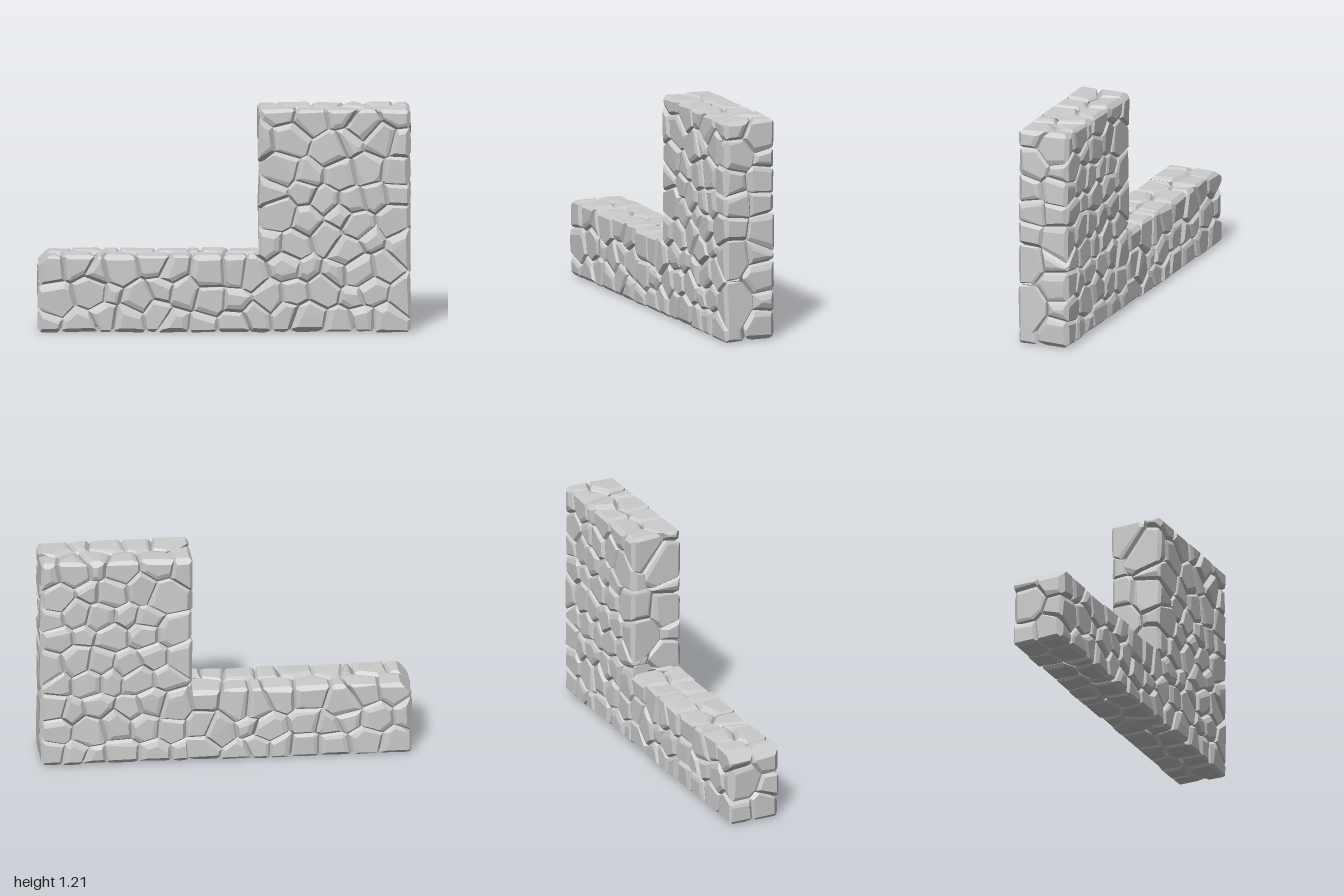
import * as THREE from 'three';

const V = (x, y, z) => new THREE.Vector3(x, y, z);
const rand = n => { const s = Math.sin(n * 127.1 + 11.7) * 43758.5453; return s - Math.floor(s); };

// Wall outline
const L = -1, R = 1, STEP = 0.18, BASE = 0.005, LOW = 0.43, TOP = 1.215, HALF = 0.15;
const AXES = [V(1, 0, 0), V(-1, 0, 0), V(0, 1, 0), V(0, -1, 0), V(0, 0, 1), V(0, 0, -1)];

// Sections of the wall; "joined" lists the faces (indices in AXES) that meet another section
const SECTIONS = [
  { name: 'lowWall', min: V(L, BASE, -HALF), max: V(STEP, LOW, HALF), joined: [0] },
  { name: 'tallWallBase', min: V(STEP, BASE, -HALF), max: V(R, LOW, HALF), joined: [1, 2] },
  { name: 'tallWallUpper', min: V(STEP, LOW, -HALF), max: V(R, TOP, HALF), joined: [3] },
];

// Stone centres: two layers of jittered, staggered courses
function stoneCentres() {
  const seeds = [];
  let k = 1;
  for (const side of [1, -1]) {
    for (let row = 0; row < 9; row++) {
      for (let col = 0; col < 15; col++) {
        const stagger = ((row + (side > 0 ? 0 : 1)) % 2) * 0.07;
        const x = -0.96 + col * 0.142 + stagger + (rand(k++) - 0.5) * 0.085;
        const y = 0.07 + row * 0.137 + (rand(k++) - 0.5) * 0.085;
        const z = side * (0.085 + (rand(k++) - 0.5) * 0.05);
        if (x < 0.99 && y < TOP && (x > STEP + 0.03 || y < LOW - 0.03)) seeds.push(V(x, y, z));
      }
    }
  }
  return seeds;
}

// Cuts a polygon by the half-space n.p <= d
function clip(poly, { n, d }) {
  const out = [];
  for (let i = 0; i < poly.length; i++) {
    const a = poly[i], b = poly[(i + 1) % poly.length];
    const da = n.dot(a) - d, db = n.dot(b) - d;
    if (da <= 1e-6) out.push(a);
    if ((da > 1e-6 && db < -1e-6) || (da < -1e-6 && db > 1e-6)) {
      out.push(a.clone().lerp(b, da / (da - db)));
    }
  }
  return out;
}

// Writes the faces of the convex solid bounded by the planes
function addSolid(planes, positions) {
  planes.forEach((p, i) => {
    if (p.hidden) return;
    const u = V(0.31, 0.77, 0.56).cross(p.n).normalize();
    const v = p.n.clone().cross(u);
    const c = p.n.clone().multiplyScalar(p.d);
    let poly = [[1, 1], [-1, 1], [-1, -1], [1, -1]].map(([a, b]) =>
      c.clone().addScaledVector(u, a * 4).addScaledVector(v, b * 4));
    for (let j = 0; j < planes.length && poly.length > 2; j++) {
      if (j !== i) poly = clip(poly, planes[j]);
    }
    for (let t = 1; t + 1 < poly.length; t++) {
      for (const q of [poly[0], poly[t], poly[t + 1]]) positions.push(q.x, q.y, q.z);
    }
  });
}

// Bounding planes of one stone inside one wall section
function stonePlanes(seeds, s, section) {
  const seed = seeds[s];
  const planes = [];

  // Joints halfway to the neighbouring stones
  const joints = seeds.map((q, j) => ({ q, j, dist: q.distanceTo(seed) }))
    .filter(e => e.j !== s)
    .sort((a, b) => a.dist - b.dist)
    .slice(0, 24)
    .map(({ q, j }) => {
      const n = q.clone().sub(seed).normalize();
      return { n, d: n.dot(q.clone().add(seed).multiplyScalar(0.5)), j };
    });
  planes.push(...joints);

  // Section faces
  const faces = AXES.map((n, i) => ({
    n, i, d: n.dot(i % 2 ? section.min : section.max), hidden: section.joined.includes(i),
  }));
  planes.push(...faces);
  const outer = faces.filter(f => !f.hidden);

  // Dressing of the faces this stone lies against
  for (const f of outer) {
    const gap = f.d - f.n.dot(seed);
    if (gap > 0.15) continue;
    const key = s * 7.3 + f.i * 1.9;
    // Slightly recessed, tilted stone face
    const n = f.n.clone().add(V(rand(key) - 0.5, rand(key + 0.3) - 0.5, rand(key + 0.6) - 0.5)
      .multiplyScalar(0.11)).normalize();
    const onFace = seed.clone().addScaledVector(f.n, gap - 0.006 * rand(key + 0.9));
    planes.push({ n, d: n.dot(onFace) });

    // Bevels that open a groove along each joint
    for (const jt of joints) {
      const nf = jt.n.dot(f.n);
      if (Math.abs(nf) > 0.55) continue;
      const t = jt.n.clone().addScaledVector(f.n, -nf);
      const len = t.length();
      t.divideScalar(len);
      const edge = (jt.d - nf * f.d) / len;
      const r = rand(s * 3.1 + jt.j * 5.7 + f.i);
      const bevel = (slope, depth) => {
        const m = t.clone().multiplyScalar(slope).add(f.n);
        const size = m.length();
        planes.push({ n: m.divideScalar(size), d: (slope * edge + f.d - depth) / size });
      };
      bevel(1.3, 0.02 + 0.01 * r);
      if (r > 0.5) bevel(0.4, 0.01 + 0.008 * r);
    }
  }

  // Worn arrises where two outer faces meet
  for (const a of outer) {
    for (const b of outer) {
      if (a.i >= b.i || a.n.dot(b.n) !== 0) continue;
      const endCorner = section.name === 'lowWall' && a.i === 1 && b.i === 2;
      const cut = endCorner ? 0.07 : 0.02 + 0.016 * rand(s * 2.7 + a.i * 6 + b.i);
      planes.push({ n: a.n.clone().add(b.n).normalize(), d: (a.d + b.d - cut) / Math.SQRT2 });
    }
  }
  return planes;
}

export function createModel() {
  const group = new THREE.Group();
  group.name = 'stoneWall';
  const material = new THREE.MeshStandardMaterial({ color: 0xcccccc, flatShading: true });
  const seeds = stoneCentres();

  for (const section of SECTIONS) {
    const reach = new THREE.Box3(section.min, section.max);
    const positions = [];
    seeds.forEach((seed, s) => {
      if (reach.distanceToPoint(seed) < 0.2) addSolid(stonePlanes(seeds, s, section), positions);
    });
    const geometry = new THREE.BufferGeometry();
    geometry.setAttribute('position', new THREE.Float32BufferAttribute(positions, 3));
    geometry.computeVertexNormals();
    const mesh = new THREE.Mesh(geometry, material);
    mesh.name = section.name;
    group.add(mesh);
  }
  return group;
}
